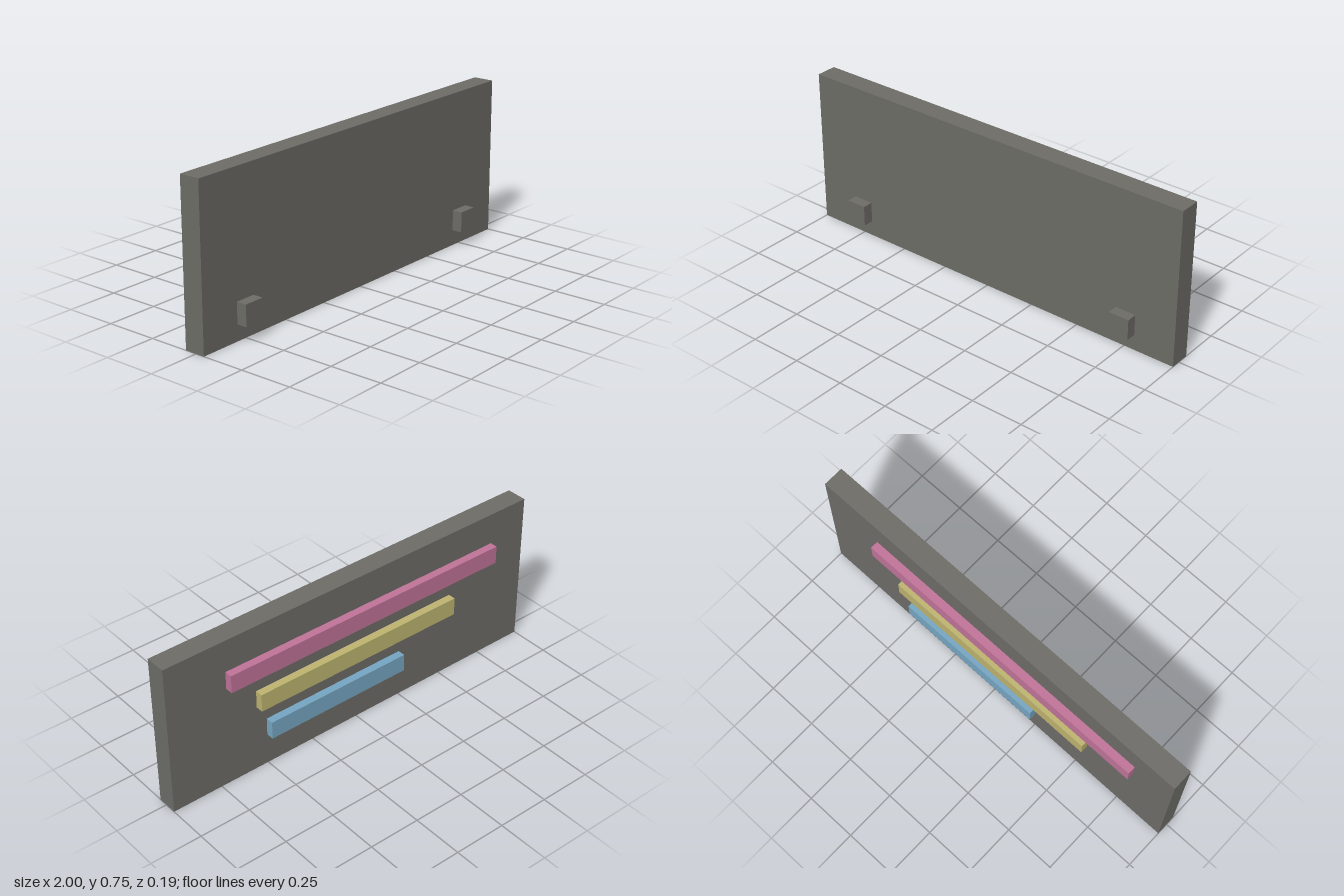
import * as THREE from 'three';

const mat = (name, color) => {
  const m = new THREE.MeshStandardMaterial({ color });
  m.name = name;
  return m;
};

export function createModel() {
  const group = new THREE.Group();
  const grey = mat('warm grey', 0x6d6c67);
  const pink = mat('pink', 0xc07398);
  const yellow = mat('yellow', 0xbdb36f);
  const blue = mat('blue', 0x75a5c2);

  // Box given by its lower and upper limits on each axis
  const box = (name, material, [x0, x1], [y0, y1], [z0, z1]) => {
    const mesh = new THREE.Mesh(new THREE.BoxGeometry(x1 - x0, y1 - y0, z1 - z0), material);
    mesh.position.set((x0 + x1) / 2, (y0 + y1) / 2, (z0 + z1) / 2);
    mesh.name = name;
    group.add(mesh);
  };

  const front = 0.04375, back = -0.05625;

  // Upright board
  box('board', grey, [-1, 1], [0, 0.75], [back, front]);

  // Two small blocks low on the front
  for (const [name, x] of [['leftBlock', 0.75], ['rightBlock', -0.75]])
    box(name, grey, [x - 0.05, x + 0.05], [0.075, 0.175], [front, front + 0.05]);

  // Three raised bars of decreasing length on the back
  const bars = [
    ['topBar', pink, [-0.8, 0.7], 0.55],
    ['middleBar', yellow, [-0.55, 0.55], 0.375],
    ['bottomBar', blue, [-0.25, 0.5], 0.2],
  ];
  for (const [name, material, xs, y] of bars)
    box(name, material, xs, [y - 0.04375, y + 0.04375], [back - 0.0375, back]);

  return group;
}
